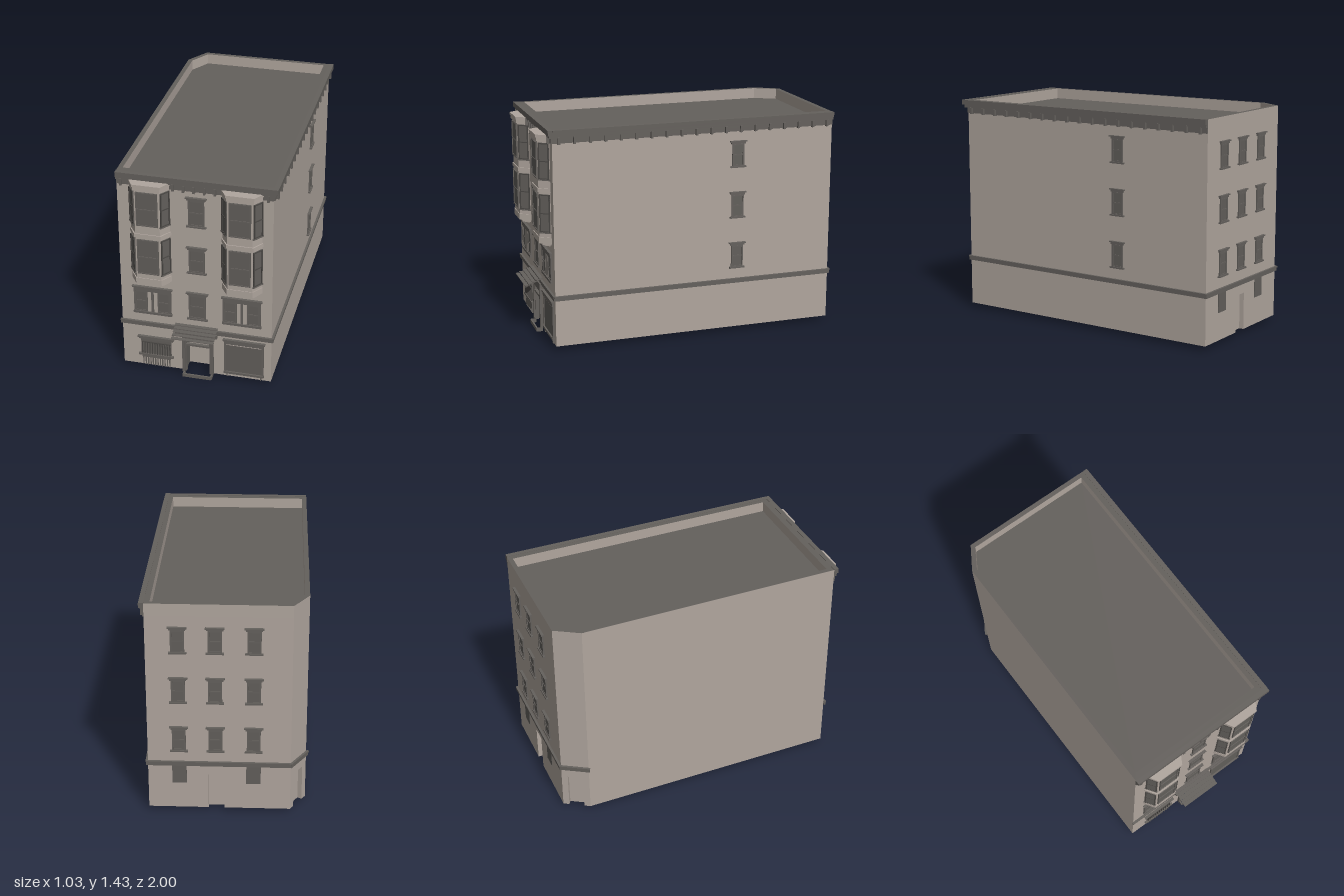
import * as THREE from 'three';

const mat = (name, color, side = THREE.FrontSide) => {
  const m = new THREE.MeshStandardMaterial({ color, side });
  m.name = name;
  return m;
};

export function createModel() {
  const stone = mat('stone', 0xb0a69e, THREE.DoubleSide);
  const trim = mat('trim', 0x65615d);
  const glass = mat('glass', 0x625f5b);
  const dark = mat('darkFrame', 0x4c4946);
  const roofing = mat('roofing', 0x64605c, THREE.DoubleSide);
  const model = new THREE.Group();
  model.name = 'apartmentBuilding';

  const add = (g, name, geo, m) => {
    const mesh = new THREE.Mesh(geo, m);
    mesh.name = name;
    g.add(mesh);
    return mesh;
  };
  const group = (parent, name) => {
    const g = new THREE.Group();
    g.name = name;
    parent.add(g);
    return g;
  };
  const box = (g, name, m, x0, x1, y0, y1, z0, z1) => {
    const b = add(g, name, new THREE.BoxGeometry(x1 - x0, y1 - y0, z1 - z0), m);
    b.position.set((x0 + x1) / 2, (y0 + y1) / 2, (z0 + z1) / 2);
    return b;
  };
  // Group whose x runs from a to b along a wall and whose z points outwards
  const face = (parent, name, a, b) => {
    const g = group(parent, name);
    g.position.set(a[0], 0, a[1]);
    g.rotation.y = Math.atan2(a[1] - b[1], b[0] - a[0]);
    g.userData.length = Math.hypot(b[0] - a[0], b[1] - a[1]);
    return g;
  };
  const outline = pts => new THREE.Shape(pts.map(p => new THREE.Vector2(p[0], -p[1])));
  const slab = (pts, y0, y1, hole) => {
    const s = outline(pts);
    if (hole) s.holes.push(outline(hole));
    return new THREE.ExtrudeGeometry(s, { depth: y1 - y0, bevelEnabled: false })
      .rotateX(-Math.PI / 2).translate(0, y0, 0);
  };

  // Pane with a raised frame and a middle rail
  const sash = (g, x0, x1, y0, y1, z = 0, t = 0.01, frame = trim) => {
    box(g, 'glass', glass, x0, x1, y0, y1, z, z + 0.004);
    box(g, 'stile', frame, x0, x0 + t, y0, y1, z, z + 0.009);
    box(g, 'stile', frame, x1 - t, x1, y0, y1, z, z + 0.009);
    const ym = y0 + (y1 - y0) * 0.48;
    for (const y of [y0, ym, y1 - t]) box(g, 'rail', frame, x0 + t, x1 - t, y, y + t * 0.8, z, z + 0.008);
  };
  // Window with lintel and sill
  const windowAt = (parent, x, y0, y1, w) => {
    const g = group(parent, 'window');
    sash(g, x - w / 2, x + w / 2, y0, y1);
    box(g, 'lintel', trim, x - w / 2 - 0.008, x + w / 2 + 0.008, y1, y1 + 0.012, 0, 0.012);
    box(g, 'lintelCap', trim, x - w / 2 - 0.016, x + w / 2 + 0.016, y1 + 0.012, y1 + 0.02, 0, 0.018);
    box(g, 'sill', trim, x - w / 2 - 0.012, x + w / 2 + 0.012, y0 - 0.01, y0, 0, 0.015);
  };

  // Outer walls, open below, with doorways
  const plan = [[-0.495, 0.88], [0.475, 0.88], [0.475, -0.985], [-0.41, -0.985], [-0.505, -0.83]];
  const inner = [[-0.465, 0.84], [0.445, 0.84], [0.44, -0.955], [-0.395, -0.955], [-0.475, -0.82]];
  const names = ['frontWall', 'rightWall', 'backWall', 'cornerWall', 'leftWall'];
  const doors = [[0.415, 0.575, 0.29], null, [0.375, 0.475, 0.27], [0.04, 0.14, 0.27], null];
  const walls = plan.map((a, i) => {
    const g = face(model, names[i], a, plan[(i + 1) % 5]);
    const L = g.userData.length, d = doors[i];
    const s = new THREE.Shape();
    s.moveTo(0, 0.03);
    if (d) s.lineTo(d[0], 0.03).lineTo(d[0], d[2]).lineTo(d[1], d[2]).lineTo(d[1], 0.03);
    s.lineTo(L, 0.03).lineTo(L, 1.35).lineTo(0, 1.35);
    add(g, 'wall', new THREE.ShapeGeometry(s), stone);
    if (d) {
      // Recessed doorway
      const z = i ? -0.03 : -0.09, m = i ? stone : trim;
      box(g, 'doorPanel', stone, d[0], d[1], 0.03, d[2], z - 0.004, z);
      for (const x of [d[0] - 0.004, d[1]]) box(g, 'jamb', m, x, x + 0.004, 0.03, d[2], z, 0);
      box(g, 'doorHead', m, d[0], d[1], d[2], d[2] + 0.004, z, 0);
    }
    if (i < 4) {
      box(g, 'beltCourse', trim, -0.008, L + 0.008, 0.335, 0.362, 0, 0.012);
      box(g, 'beltCap', trim, -0.01, L + 0.01, 0.355, 0.365, 0, 0.015);
    }
    return g;
  });
  add(model, 'parapet', slab(plan, 1.35, 1.43, inner), [roofing, stone]);
  add(model, 'roof', new THREE.ShapeGeometry(outline(inner)).rotateX(-Math.PI / 2).translate(0, 1.36, 0), roofing);

  // Bracketed cornice on the front and right walls
  for (const [g, n, first, step] of [[walls[0], 15, 0.03, 0.065], [walls[1], 19, 0.04, 0.099]]) {
    const L = g.userData.length, c = group(g, 'cornice');
    const e = g === walls[0] ? 0.03 : 0;
    box(c, 'frieze', trim, 0, L, 1.345, 1.385, 0, 0.008);
    box(c, 'bedMoulding', trim, 0, L + e * 0.6, 1.38, 1.402, 0, 0.02);
    box(c, 'crown', trim, 0, L + e, 1.4, 1.432, 0, 0.031);
    for (let i = 0; i < n; i++) {
      const x = first + i * step;
      box(c, 'bracket', trim, x - 0.007, x + 0.007, 1.34, 1.385, 0, 0.024);
    }
  }

  // Side and back windows
  const floors = [0.445, 0.783, 1.118];
  for (const y of floors) {
    windowAt(walls[1], 1.215, y, y + 0.145, 0.08);
    for (const x of [0.195, 0.42, 0.655]) windowAt(walls[2], x, y, y + 0.145, 0.085);
  }
  for (const x of [0.195, 0.655]) box(walls[2], 'basementWindow', glass, x - 0.045, x + 0.045, 0.21, 0.335, 0, 0.005);

  // Front details, measured from the middle of the front wall
  const front = group(model, 'frontDetails');
  front.position.z = 0.88;
  windowAt(front, 0, 0.44, 0.61, 0.11);
  windowAt(front, 0, 0.78, 0.94, 0.1);
  windowAt(front, 0, 1.11, 1.285, 0.1);

  const ring = (hw, hf, d) => [[-hw, -0.002], [hw, -0.002], [hf, d], [-hf, d]].reverse();
  for (const cx of [-0.29, 0.285]) {
    // Paired window
    const pair = group(front, 'pairedWindow');
    pair.position.x = cx;
    for (const s of [-1, 1]) {
      sash(pair, s * 0.073 - 0.04, s * 0.073 + 0.04, 0.445, 0.595, 0, 0.009);
      box(pair, 'sideTrim', trim, s * 0.116 - 0.005, s * 0.116 + 0.005, 0.445, 0.6, 0, 0.01);
      box(pair, 'mullion', stone, s * 0.02 - 0.011, s * 0.02 + 0.011, 0.445, 0.595, 0, 0.008);
    }
    box(pair, 'centreStrip', trim, -0.008, 0.008, 0.445, 0.595, 0, 0.01);
    box(pair, 'lintel', trim, -0.12, 0.12, 0.595, 0.622, 0, 0.012);
    box(pair, 'lintelCap', trim, -0.13, 0.13, 0.62, 0.63, 0, 0.018);
    box(pair, 'sill', trim, -0.125, 0.125, 0.43, 0.446, 0, 0.015);

    // Two-storey bay window
    const bay = group(front, 'bayWindow');
    bay.position.x = cx;
    const stages = [
      [0.09, 0.06, 0.03, 0.664, 0.676], [0.115, 0.08, 0.05, 0.676, 0.69],
      [0.13, 0.082, 0.07, 0.69, 0.73], [0.125, 0.078, 0.066, 0.73, 1.025],
      [0.132, 0.084, 0.072, 1.022, 1.046], [0.125, 0.078, 0.066, 1.046, 1.35],
      [0.132, 0.084, 0.075, 1.345, 1.37], [0.136, 0.088, 0.08, 1.37, 1.387],
    ];
    for (const [hw, hf, d, y0, y1] of stages) add(bay, 'bayBody', slab(ring(hw, hf, d), y0, y1), stone);
    const sides = [[[-0.125, 0], [-0.078, 0.066]], [[-0.078, 0.066], [0.078, 0.066]], [[0.078, 0.066], [0.125, 0]]];
    sides.forEach(([a, b], i) => {
      const f = face(bay, 'bayFace', a, b), L = f.userData.length;
      const inset = i === 1 ? 0.01 : 0.005;
      for (const [y0, y1] of [[0.765, 1.008], [1.105, 1.335]]) {
        sash(f, inset, L - inset, y0, y1, 0, 0.008, i === 1 ? trim : dark);
        if (i !== 1) box(f, 'sill', trim, 0, L, y0 - 0.008, y0, 0, 0.01);
      }
    });
  }

  // Barred ground-floor window with grating below
  const barred = group(front, 'barredWindow');
  barred.position.x = -0.276;
  box(barred, 'glass', glass, -0.1, 0.1, 0.115, 0.24, 0, 0.005);
  box(barred, 'lintel', trim, -0.112, 0.112, 0.232, 0.247, 0, 0.012);
  box(barred, 'lintelCap', trim, -0.12, 0.12, 0.245, 0.255, 0, 0.018);
  box(barred, 'sill', trim, -0.116, 0.116, 0.108, 0.12, 0, 0.016);
  box(barred, 'apron', trim, -0.095, 0.095, 0.09, 0.108, 0, 0.008);
  for (let i = 0; i < 12; i++) box(barred, 'bar', dark, -0.094 + i * 0.0165, -0.089 + i * 0.0165, 0.12, 0.21, 0.004, 0.012);
  box(barred, 'barRail', dark, -0.095, 0.095, 0.206, 0.212, 0.004, 0.013);
  for (let k = -1; k < 2; k++)
    for (let i = 0; i < 4; i++) {
      const x = k * 0.063 - 0.024 + i * 0.016;
      box(barred, 'gratePost', trim, x - 0.003, x + 0.003, 0.032, 0.09, 0, 0.008);
    }

  // Shop window
  const shop = group(front, 'shopWindow');
  shop.position.x = 0.3;
  box(shop, 'glass', glass, -0.12, 0.12, 0.07, 0.29, 0, 0.005);
  for (const s of [-1, 1]) {
    box(shop, 'stile', trim, s * 0.122 - 0.006, s * 0.122 + 0.006, 0.07, 0.285, 0, 0.01);
    box(shop, 'leg', trim, s * 0.11 - 0.003, s * 0.11 + 0.003, 0.03, 0.055, 0, 0.008);
  }
  box(shop, 'topRail', stone, -0.112, 0.112, 0.272, 0.276, 0, 0.008);
  box(shop, 'lintel', trim, -0.128, 0.128, 0.28, 0.305, 0, 0.012);
  box(shop, 'lintelCap', trim, -0.136, 0.136, 0.303, 0.315, 0, 0.018);
  box(shop, 'sill', trim, -0.13, 0.13, 0.055, 0.07, 0, 0.015);

  // Entrance surround, step frame and slatted canopy
  const entry = group(front, 'entrance');
  for (const s of [-1, 1]) {
    box(entry, 'pilaster', trim, s * 0.093 - 0.009, s * 0.093 + 0.009, 0.025, 0.292, 0, 0.016);
    box(entry, 'doorPost', trim, s * 0.079 - 0.004, s * 0.079 + 0.004, 0.025, 0.27, -0.015, 0.008);
    box(entry, 'stepSide', trim, s * 0.09 - 0.005, s * 0.09 + 0.005, 0, 0.025, 0, 0.035);
  }
  box(entry, 'stepFront', trim, -0.095, 0.09, 0, 0.022, 0.03, 0.04);
  box(entry, 'transomBar', trim, -0.084, 0.084, 0.225, 0.238, -0.01, 0.01);
  box(entry, 'headPanel', trim, -0.085, 0.08, 0.272, 0.312, 0, 0.012);
  box(entry, 'canopyBase', trim, -0.143, 0.128, 0.312, 0.34, 0, 0.022);
  for (let i = 0; i < 5; i++)
    box(entry, 'canopySlat', trim, -0.145, 0.13, 0.378 - i * 0.01, 0.382 - i * 0.01, i * 0.024, i * 0.024 + 0.025);
  for (const x of [-0.14, 0.121]) {
    const arm = box(entry, 'canopyArm', trim, x, x + 0.004, 0.35, 0.354, 0, 0.115);
    arm.rotation.x = 0.36;
  }
  return model;
}
